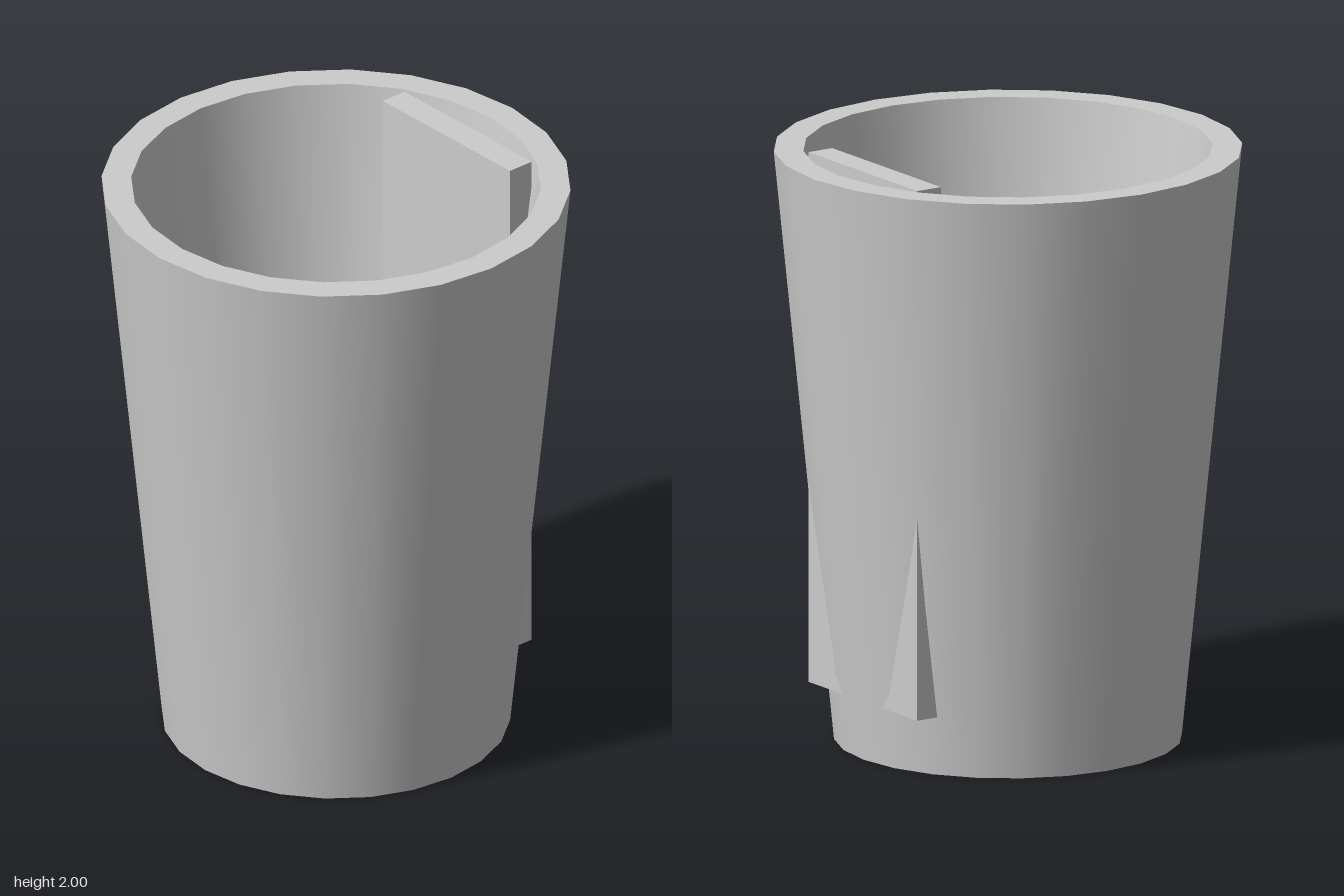
import * as THREE from 'three';

export function createModel() {
  const group = new THREE.Group();
  const grey = new THREE.MeshStandardMaterial({ color: 0xcccccc });
  grey.name = 'light grey';

  const add = (name, geometry) => {
    const mesh = new THREE.Mesh(geometry, grey);
    mesh.name = name;
    group.add(mesh);
    return mesh;
  };

  // Tapered tube: one lathe per profile edge keeps the rims sharp
  const profile = [[0.575, 0], [0.774, 2], [0.676, 2], [0.381, 0]]
    .map(([r, y]) => new THREE.Vector2(r, y));
  ['outerWall', 'topRim', 'innerWall', 'bottomRim'].forEach((name, i) => {
    add(name, new THREE.LatheGeometry([profile[i], profile[(i + 1) % 4]], 24));
  });

  // Upright plate at the back, its lower corners poking through the wall
  add('backPlate', new THREE.BoxGeometry(0.634, 1.8, 0.095)).position.set(0, 1.1, -0.5325);

  return group;
}
